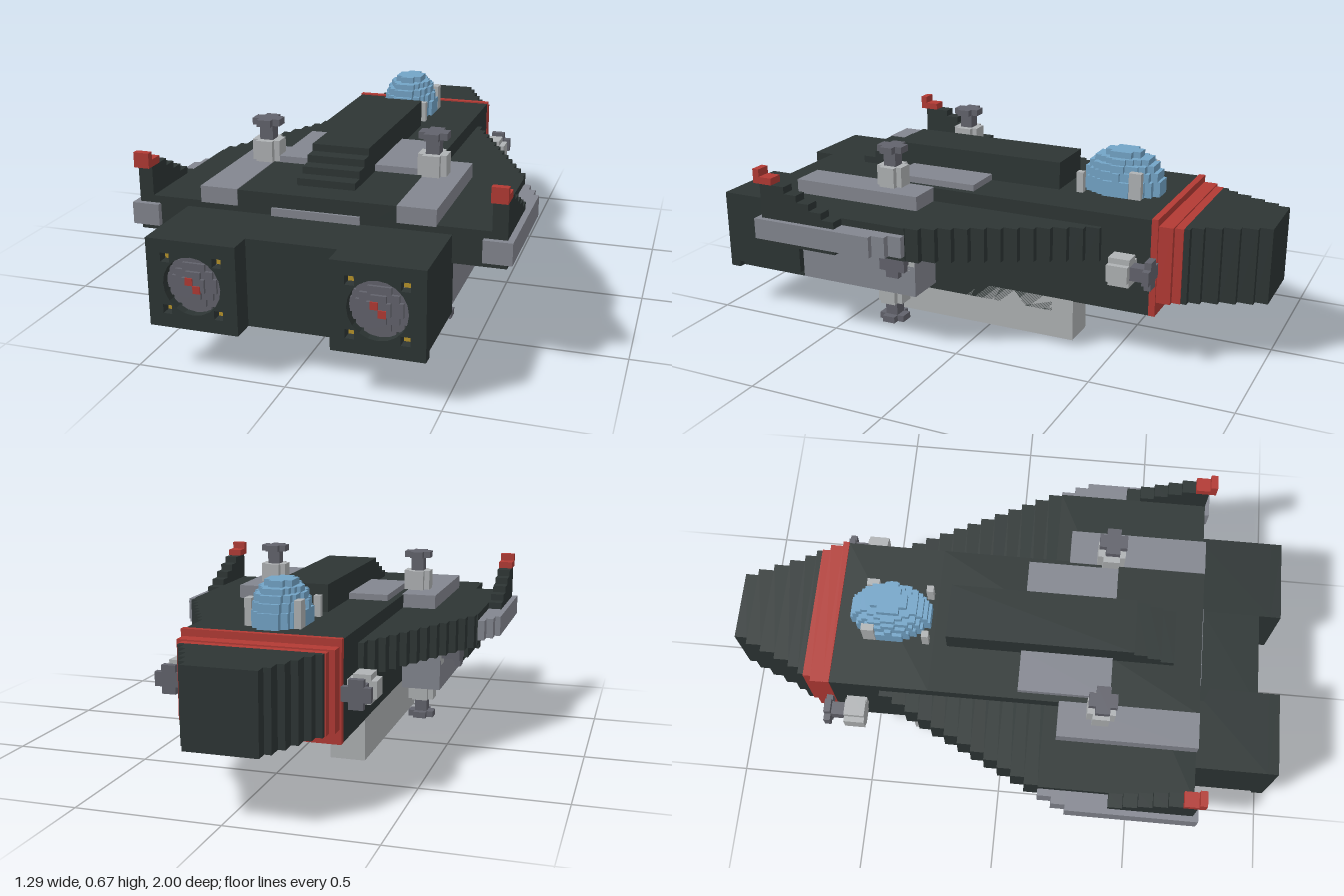
import * as THREE from 'three';

const paint = (name, color) => {
  const m = new THREE.MeshStandardMaterial({ color });
  m.name = name;
  return m;
};

export function createModel() {
  const hullDark = paint('hull dark', 0x2d3534);
  const panelGray = paint('panel gray', 0x83868f);
  const lightGray = paint('light gray', 0xafb2b4);
  const gunGray = paint('gun gray', 0x62636c);
  const red = paint('red', 0xb23a34);
  const blue = paint('canopy blue', 0x73a4c7);
  const yellow = paint('yellow', 0xb8942a);

  const root = new THREE.Group();
  root.name = 'blockShip';
  const group = (name, parent = root) => {
    const g = new THREE.Group();
    g.name = name;
    parent.add(g);
    return g;
  };
  // box from its minimum and maximum corners
  const box = (parent, name, mat, x0, x1, y0, y1, z0, z1) => {
    const mesh = new THREE.Mesh(new THREE.BoxGeometry(x1 - x0, y1 - y0, z1 - z0), mat);
    mesh.position.set((x0 + x1) / 2, (y0 + y1) / 2, (z0 + z1) / 2);
    mesh.name = name;
    parent.add(mesh);
    return mesh;
  };
  // box centred on x = 0, given its half width
  const mid = (parent, name, mat, hw, ...yz) => box(parent, name, mat, -hw, hw, ...yz);
  // matching boxes on both sides
  const pair = (parent, name, mat, x0, x1, ...yz) => {
    box(parent, name + 'Left', mat, x0, x1, ...yz);
    box(parent, name + 'Right', mat, -x1, -x0, ...yz);
  };
  // stepped oval made of rows: calls put(half width, row start, row end)
  const ovalRows = (rx, rz, step, put) => {
    const n = Math.round((2 * rz) / step);
    for (let i = 0; i < n; i++) {
      const a = -rz + (i * 2 * rz) / n, b = a + (2 * rz) / n, c = (a + b) / 2;
      const w = Math.max(step / 2, Math.round((rx * Math.sqrt(1 - (c / rz) ** 2)) / 0.0125) * 0.0125);
      put(w, a, b);
    }
  };

  // stepped nose
  const nose = group('nose');
  const noseZ = [-1, -0.955, -0.9, -0.845, -0.79, -0.75, -0.73];
  for (let i = 0; i < 6; i++) {
    mid(nose, 'noseStep', hullDark, 0.125 + i * 0.024, 0.23, 0.5, noseZ[i], noseZ[i + 1]);
  }
  // red collar
  const collar = group('collar');
  mid(collar, 'collarFront', red, 0.25, 0.23, 0.5, -0.73, -0.7);
  mid(collar, 'collarMiddle', red, 0.27, 0.23, 0.505, -0.7, -0.65);
  mid(collar, 'collarBack', red, 0.277, 0.18, 0.53, -0.65, -0.627);

  // central hull and spine
  const hull = group('hull');
  mid(hull, 'frontHull', hullDark, 0.275, 0.18, 0.525, -0.627, -0.27);
  mid(hull, 'rearHull', hullDark, 0.275, 0.13, 0.525, -0.27, 0.7);
  const spine = group('spine');
  mid(spine, 'spineBlock', hullDark, 0.1, 0.52, 0.625, -0.22, 0.45);
  for (let i = 0; i < 3; i++) {
    mid(spine, 'spineStep', hullDark, 0.1, 0.52, 0.6 - i * 0.025, 0.45 + i * 0.05, 0.5 + i * 0.05);
  }
  pair(hull, 'innerDeckPlate', panelGray, 0.1, 0.25, 0.52, 0.548, 0.05, 0.38);
  pair(hull, 'outerDeckPlate', panelGray, 0.27, 0.4, 0.47, 0.527, 0.2, 0.702);
  mid(hull, 'rearVent', panelGray, 0.15, 0.45, 0.477, 0.7, 0.709);
  pair(hull, 'sidePod', panelGray, 0.26, 0.425, 0.155, 0.36, 0.2, 0.69);

  // stepped wings with side rails and tail fins
  const wings = group('wings');
  for (let i = 0; i < 12; i++) {
    const z = -0.45 + i * 0.05;
    mid(wings, 'wingStep', hullDark, Math.min(0.575, 0.295 + i * 0.025), 0.355, 0.475, z, z + 0.05);
  }
  mid(wings, 'wingRear', hullDark, 0.575, 0.355, 0.475, 0.15, 0.7);
  pair(wings, 'railTip', panelGray, 0.55, 0.6, 0.375, 0.45, 0.15, 0.2);
  pair(wings, 'railStep', panelGray, 0.55, 0.625, 0.375, 0.45, 0.2, 0.25);
  pair(wings, 'rail', panelGray, 0.55, 0.645, 0.375, 0.45, 0.25, 0.72);
  const fins = group('tailFins');
  for (let i = 0; i < 5; i++) {
    pair(fins, 'finStep', hullDark, 0.575, 0.625, 0.355, 0.475 + i * 0.025, 0.4 + i * 0.05, 0.45 + i * 0.05);
  }
  pair(fins, 'finEnd', hullDark, 0.575, 0.625, 0.355, 0.575, 0.65, 0.7);
  pair(fins, 'finTip', red, 0.573, 0.627, 0.575, 0.6, 0.65, 0.725);
  pair(fins, 'finTipTop', red, 0.573, 0.627, 0.6, 0.627, 0.7, 0.725);

  // engine block with two recessed nozzles
  const engines = group('engines');
  mid(engines, 'engineBridge', hullDark, 0.2, 0.155, 0.45, 0.68, 0.92);
  const face = (x0, x1, y0, y1) => new THREE.Shape(
    [[x0, y0], [x1, y0], [x1, y1], [x0, y1]].map(([x, y]) => new THREE.Vector2(x, y)));
  for (const side of [-1, 1]) {
    const e = group(side > 0 ? 'engineLeft' : 'engineRight', engines);
    e.position.set(side * 0.3, 0.303, 0);
    box(e, 'engineBody', hullDark, -0.15, 0.15, -0.125, 0.147, 0.68, 0.96);
    box(e, 'engineBottom', hullDark, -0.15, 0.125, -0.148, -0.125, 0.68, 0.96).position.x = -side * 0.0125;
    // face plate with a round opening and four small corner openings
    const plate = face(-0.15, 0.15, -0.148, 0.147);
    const ring = new THREE.Path();
    ring.absarc(0, 0, 0.097, 0, Math.PI * 2, true);
    plate.holes.push(ring);
    for (const sx of [-1, 1]) for (const sy of [-1, 1]) {
      const x = sx * 0.087, y = sy * 0.087;
      plate.holes.push(face(x - 0.015, x + 0.015, y - 0.015, y + 0.015));
      box(e, 'cornerLamp', yellow, x - 0.016, x + 0.016, y - 0.016, y + 0.016, 0.958, 0.966);
    }
    const geo = new THREE.ExtrudeGeometry(plate, { depth: 0.04, bevelEnabled: false, curveSegments: 10 });
    const plateMesh = new THREE.Mesh(geo, hullDark);
    plateMesh.position.z = 0.96;
    plateMesh.name = 'engineFace';
    e.add(plateMesh);
    // stepped nozzle discs and red core
    [[0.097, 0.972], [0.07, 0.982], [0.045, 0.992]].forEach(([r, z]) =>
      ovalRows(r, r, 0.025, (w, a, b) => box(e, 'nozzleRow', gunGray, -w, w, a, b, 0.955, z)));
    box(e, 'coreUpper', red, -0.025, 0, 0, 0.025, 0.99, 0.996);
    box(e, 'coreLower', red, 0, 0.025, -0.025, 0, 0.99, 0.996);
  }

  // stepped canopy dome
  const canopy = group('canopy');
  [[0.1, 0.145, 0.52, 0.58], [0.095, 0.135, 0.58, 0.61], [0.085, 0.12, 0.61, 0.635],
    [0.07, 0.1, 0.635, 0.655], [0.05, 0.065, 0.655, 0.677]].forEach(([rx, rz, y0, y1]) =>
    ovalRows(rx, rz, 0.025, (w, a, b) =>
      mid(canopy, 'canopyRow', blue, w, y0, y1, a - 0.43, b - 0.43)));
  pair(canopy, 'canopyClampFront', lightGray, 0.075, 0.1, 0.52, 0.62, -0.525, -0.48);
  pair(canopy, 'canopyClampBack', lightGray, 0.075, 0.1, 0.52, 0.6, -0.31, -0.285);

  // gun turrets: base, stem and cross-shaped cap, built pointing up
  const turret = (name, x, y, z, rx, rz) => {
    const t = group(name);
    t.position.set(x, y, z);
    t.rotation.set(rx, 0, rz);
    mid(t, 'turretBase', lightGray, 0.05, 0, 0.04, -0.03, 0.03);
    mid(t, 'turretBaseCross', lightGray, 0.03, 0, 0.04, -0.05, 0.05);
    mid(t, 'turretCollar', lightGray, 0.05, 0.04, 0.075, -0.03, 0.03);
    mid(t, 'turretCollarCross', lightGray, 0.03, 0.04, 0.075, -0.05, 0.05);
    mid(t, 'turretStem', gunGray, 0.024, 0.075, 0.13, -0.024, 0.024);
    mid(t, 'turretCap', gunGray, 0.05, 0.126, 0.15, -0.025, 0.025);
    mid(t, 'turretCapCross', gunGray, 0.025, 0.126, 0.15, -0.05, 0.05);
  };
  for (const s of [-1, 1]) {
    turret('topTurret', s * 0.3, 0.526, 0.35, 0, 0);
    turret('bottomTurret', s * 0.325, 0.155, 0.35, Math.PI, 0);
    turret('sideTurret', s * 0.35, 0.3, 0.25, 0, -s * Math.PI / 2);
    turret('noseTurret', s * 0.325, 0.352, -0.505, -Math.PI / 2, 0);
  }

  // landing skids with red stripes
  const skids = group('landingSkids');
  pair(skids, 'skid', lightGray, 0.15, 0.275, 0.03, 0.182, -0.35, 0.43);
  pair(skids, 'skidStripe', red, 0.178, 0.247, 0.026, 0.031, -0.19, 0.3);
  pair(skids, 'skidStripeEnd', red, 0.195, 0.23, 0.026, 0.031, -0.215, 0.325);

  // belly panel and hatch frames
  const belly = group('belly');
  mid(belly, 'bellyPanel', gunGray, 0.1, 0.174, 0.182, -0.51, -0.37);
  for (const z of [-0.12, 0.14]) {
    pair(belly, 'hatchSide', hullDark, 0.08, 0.1, 0.115, 0.132, z, z + 0.2);
    mid(belly, 'hatchFront', hullDark, 0.1, 0.115, 0.132, z, z + 0.02);
    mid(belly, 'hatchBack', hullDark, 0.1, 0.115, 0.132, z + 0.18, z + 0.2);
  }
  return root;
}
